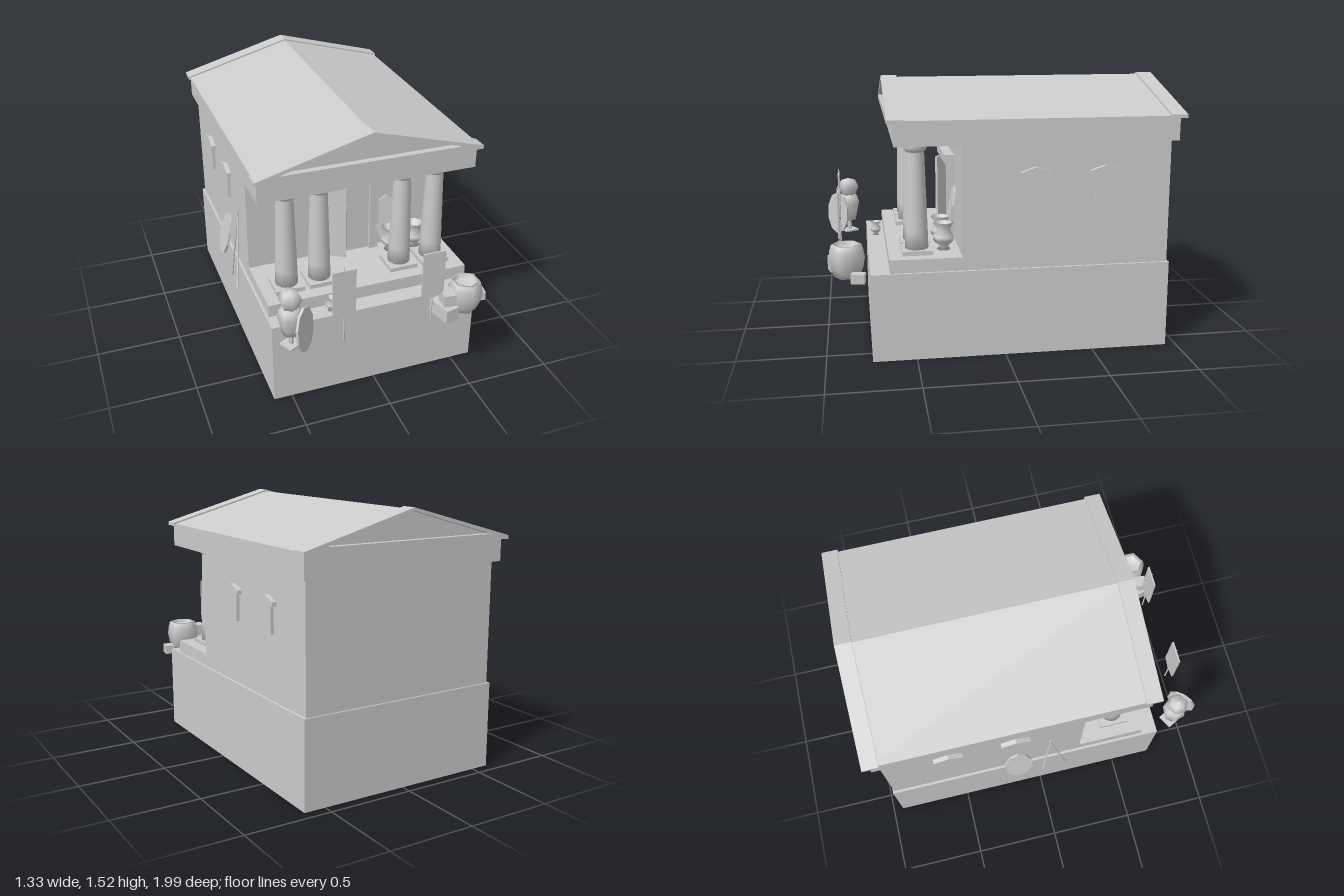
import * as THREE from 'three';

const grey = new THREE.MeshStandardMaterial({ color: 0xcccccc, side: THREE.DoubleSide });
const faceted = new THREE.MeshStandardMaterial({ color: 0xcccccc, side: THREE.DoubleSide, flatShading: true });
const CX = 0.01; // centre line of the building

export function createModel() {
  const model = new THREE.Group();

  const add = (name, geo, x = 0, y = 0, z = 0, mat = faceted) => {
    const mesh = new THREE.Mesh(geo, mat);
    mesh.name = name;
    mesh.position.set(x, y, z);
    model.add(mesh);
    return mesh;
  };
  // Box given by its limits
  const block = (name, x0, x1, y0, y1, z0, z1) =>
    add(name, new THREE.BoxGeometry(x1 - x0, y1 - y0, z1 - z0), (x0 + x1) / 2, (y0 + y1) / 2, (z0 + z1) / 2);
  const shape = (pts) => new THREE.Shape(pts.map(([x, y]) => new THREE.Vector2(x, y)));
  const extrude = (s, depth) => new THREE.ExtrudeGeometry(s, { depth, bevelEnabled: false });
  const lathe = (name, pts, sides, x, y, z, mat = grey) =>
    add(name, new THREE.LatheGeometry(pts.map(([r, h]) => new THREE.Vector2(r, h)), sides), x, y, z, mat);
  // Thin rod between two points
  const rod = (name, a, b, r) => {
    const from = new THREE.Vector3(...a), to = new THREE.Vector3(...b);
    const dir = to.clone().sub(from);
    const mesh = add(name, new THREE.CylinderGeometry(r * 0.6, r, dir.length(), 6));
    mesh.position.copy(from).add(to).multiplyScalar(0.5);
    mesh.quaternion.setFromUnitVectors(new THREE.Vector3(0, 1, 0), dir.normalize());
    return mesh;
  };
  // Oval shield whose flat face points along +z before turning
  const shield = (name, x, y, z, rx, ry, turn, lean) => {
    const geo = new THREE.CylinderGeometry(1, 1, 0.014, 10);
    geo.rotateX(Math.PI / 2);
    geo.scale(rx, ry, 1);
    const mesh = add(name, geo, x, y, z);
    mesh.rotation.set(lean, turn, 0, 'YXZ');
  };

  // Hollow podium, open underneath
  const podium = extrude(shape([[-0.605, -0.745], [0.625, -0.745], [0.625, 0.94], [-0.605, 0.94]]), 0.5);
  podium.rotateX(-Math.PI / 2);
  const corners = podium.attributes.position;
  const kept = [];
  for (let i = 0; i < corners.count; i += 3) {
    const isBottom = [0, 1, 2].every((k) => corners.getY(i + k) < 0.001);
    if (!isBottom) for (let k = 0; k < 3; k++) kept.push(i + k);
  }
  podium.setIndex(kept);
  add('podium', podium);

  // Hall, porch floor and beam course
  block('hall', -0.59, 0.61, 0.5, 1.2, -0.93, 0.24);
  block('porchFloor', -0.59, 0.61, 0.5, 0.575, 0.24, 0.64);
  block('entablature', -0.62, 0.64, 1.2, 1.325, -0.965, 0.605);

  // Gabled roof with a framed pediment at each end
  const gable = (w, base, eave, apex) => shape([[-w, base], [w, base], [w, eave], [0, apex], [-w, eave]]);
  add('roof', extrude(gable(0.64, 1.325, 1.338, 1.515), 1.57), CX, 0, -0.965);
  for (const [name, z] of [['frontPediment', 0.55], ['backPediment', -1.0]]) {
    const s = gable(0.65, 1.325, 1.345, 1.525);
    s.holes.push(new THREE.Path([[-0.52, 1.36], [0, 1.508], [0.52, 1.36]].map(([x, y]) => new THREE.Vector2(x, y))));
    add(name, extrude(s, 0.092), CX, 0, z);
  }

  // Tapered columns on square plinths
  const columnProfile = [[0, 0.6], [0.065, 0.6], [0.063, 0.7], [0.05, 1.14], [0.05, 1.15]];
  const capitalProfile = [[0.05, 1.145], [0.06, 1.155], [0.067, 1.17], [0.067, 1.2]];
  for (const x of [-0.435, -0.24, 0.255, 0.455]) {
    block('columnPlinth', x - 0.085, x + 0.085, 0.575, 0.6, 0.395, 0.565);
    lathe('columnShaft', columnProfile, 16, x, 0, 0.48);
    lathe('columnCapital', capitalProfile, 16, x, 0, 0.48);
  }

  // Doorway: jambs, lintel, one closed leaf and one leaf ajar
  block('doorJamb', -0.185, -0.13, 0.575, 1.03, 0.24, 0.28);
  block('doorJamb', 0.15, 0.205, 0.575, 1.03, 0.24, 0.28);
  block('doorLintel', -0.205, 0.225, 1.03, 1.08, 0.24, 0.295);
  block('closedDoor', 0.01, 0.15, 0.575, 1.03, 0.24, 0.258);
  const leaf = new THREE.BoxGeometry(0.135, 0.455, 0.014);
  leaf.translate(0.0675, 0, 0);
  add('openDoor', leaf, -0.13, 0.8025, 0.25).rotation.y = -0.55;

  // Blind windows with gabled hoods on both sides
  for (const z of [-0.165, -0.555]) {
    for (const side of [-1, 1]) {
      const wall = CX + side * 0.6;
      const hood = add('windowHood', extrude(
        shape([[-0.085, 1.02], [0.085, 1.02], [0.085, 1.043], [0, 1.072], [-0.085, 1.043]]), 0.026), wall, 0, z);
      hood.rotation.y = side * Math.PI / 2;
      add('windowPanel', new THREE.BoxGeometry(0.036, 0.16, 0.11), wall, 0.945, z);
    }
  }

  // Hanging banners on poles
  for (const x of [-0.25, 0.265]) {
    add('banner', extrude(
      shape([[-0.066, 0.9], [-0.066, 0.635], [0, 0.605], [0.066, 0.635], [0.066, 0.9]]), 0.01), x, 0, 0.905);
    rod('bannerPole', [x, 0.46, 0.91], [x, 0.925, 0.91], 0.005);
  }

  // Armour stand with helmet and shield
  const sx = -0.53, sz = 0.855;
  add('standBase', new THREE.BoxGeometry(0.09, 0.01, 0.09), sx, 0.465, sz).rotation.y = 0.5;
  add('standPost', new THREE.CylinderGeometry(0.014, 0.014, 0.08, 6), sx, 0.505, sz);
  lathe('cuirass', [[0, 0.53], [0.045, 0.535], [0.055, 0.58], [0.072, 0.65], [0.06, 0.69], [0.03, 0.715], [0, 0.72]],
    7, sx, 0, sz);
  lathe('helmet', [[0, 0.695], [0.04, 0.695], [0.066, 0.755], [0.045, 0.8], [0, 0.812]], 6, sx, 0, sz);
  shield('standShield', -0.475, 0.594, 0.925, 0.09, 0.137, 0.78, -0.05);

  // Shields and spears leaning on the walls
  shield('leaningShield', -0.63, 0.595, -0.155, 0.085, 0.138, -Math.PI / 2, -0.22);
  shield('porchShield', 0.265, 0.755, 0.27, 0.08, 0.155, 0, -0.18);
  rod('spear', [-0.64, 0.39, 0.0], [-0.592, 0.86, 0.05], 0.007);
  rod('spear', [-0.645, 0.39, 0.15], [-0.592, 0.84, 0.04], 0.007);

  // Six-sided jar and crates
  lathe('storageJar', [[0, 0.46], [0.07, 0.46], [0.09, 0.51], [0.1, 0.565], [0.093, 0.61], [0.083, 0.645],
    [0.068, 0.645], [0.07, 0.61], [0, 0.61]], 6, 0.49, 0, 0.87);
  const crate = (x, y, z, w, h, d, turn) => {
    add('crate', new THREE.BoxGeometry(w, h, d), x, y + h / 2, z).rotation.y = turn;
  };
  crate(0.352, 0.46, 0.895, 0.08, 0.08, 0.155, 0.22);
  crate(0.37, 0.54, 0.895, 0.07, 0.07, 0.09, -0.08);
  crate(0.618, 0.46, 0.81, 0.055, 0.054, 0.075, -0.15);

  // Footed vases; profile in units of the vase height
  const vaseProfile = [[0, 0], [0.26, 0], [0.16, 0.12], [0.38, 0.35], [0.4, 0.5], [0.22, 0.75], [0.39, 1],
    [0.3, 1], [0.17, 0.75], [0, 0.7]];
  const vase = (x, y, z, h) => lathe('vase', vaseProfile.map(([r, v]) => [r * h, v * h]), 7, x, y, z);
  vase(-0.24, 0.5, 0.69, 0.085);
  vase(0.27, 0.575, 0.325, 0.155);
  vase(0.42, 0.575, 0.325, 0.155);

  return model;
}
